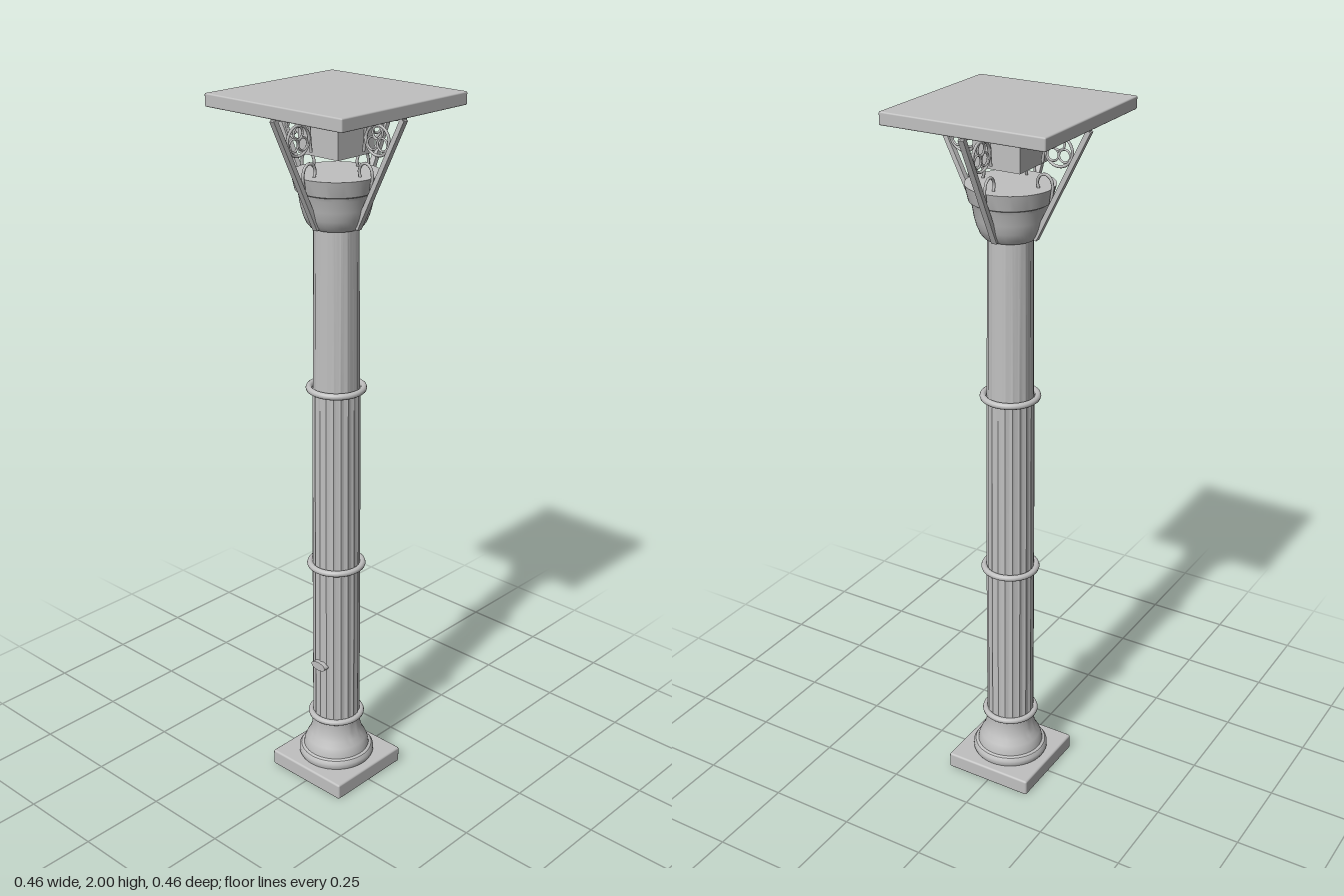
import * as THREE from 'three';
import { toCreasedNormals } from 'three/addons/utils/BufferGeometryUtils.js';
import { RoundedBoxGeometry } from 'three/addons/geometries/RoundedBoxGeometry.js';

export function createModel() {
  const model = new THREE.Group();
  model.name = 'column';
  const iron = new THREE.MeshStandardMaterial({ color: 0xc0c0c0 });
  iron.name = 'grey iron';

  const add = (name, geometry, x = 0, y = 0, z = 0, parent = model) => {
    const mesh = new THREE.Mesh(geometry, iron);
    mesh.name = name;
    mesh.position.set(x, y, z);
    parent.add(mesh);
    return mesh;
  };
  const turned = (points) => toCreasedNormals(
    new THREE.LatheGeometry(points.map(([r, y]) => new THREE.Vector2(r, y)), 48), 0.6);

  // Square plinth and moulded base
  add('plinth', new RoundedBoxGeometry(0.268, 0.048, 0.268, 2, 0.006), 0, 0.024, 0);
  add('base', turned([
    [0, 0.045], [0.106, 0.045], [0.11, 0.053], [0.11, 0.065], [0.104, 0.074],
    [0.096, 0.077], [0.094, 0.09], [0.088, 0.105], [0.078, 0.122],
    [0.072, 0.142], [0.069, 0.165], [0.07, 0.185], [0, 0.185],
  ]));

  // Fluted shaft sections, with the radius pulled in along each groove
  const flutedShaft = (name, y0, y1, r0, r1, depth) => {
    const flutes = 20;
    const geo = new THREE.CylinderGeometry(r1, r0, y1 - y0, flutes * 6, 1, true);
    const p = geo.attributes.position;
    for (let i = 0; i < p.count; i++) {
      const a = Math.atan2(p.getZ(i), p.getX(i));
      const k = 1 - depth * Math.abs(Math.sin(a * flutes / 2));
      p.setX(i, p.getX(i) * k);
      p.setZ(i, p.getZ(i) * k);
    }
    geo.computeVertexNormals();
    add(name, toCreasedNormals(geo, 0.6), 0, (y0 + y1) / 2, 0);
  };
  flutedShaft('lowerShaft', 0.18, 0.68, 0.069, 0.068, 0.05);
  flutedShaft('middleShaft', 0.68, 1.215, 0.068, 0.065, 0.05);
  flutedShaft('upperShaft', 1.215, 1.67, 0.064, 0.06, 0.03);

  // Rounded collars between the sections
  for (const [y, r] of [[0.188, 0.073], [0.682, 0.074], [1.214, 0.074]]) {
    const collar = new THREE.TorusGeometry(r, 0.009, 10, 48);
    collar.rotateX(Math.PI / 2);
    add('collar', collar, 0, y, 0);
  }

  // Small oval badge on the front
  const badge = new THREE.CylinderGeometry(1, 1, 0.016, 32);
  badge.rotateX(Math.PI / 2);
  badge.scale(0.026, 0.013, 1);
  add('ovalBadge', badge, 0, 0.371, 0.07);

  // Flared capital
  add('capital', turned([
    [0, 1.66], [0.068, 1.66], [0.078, 1.672], [0.086, 1.69], [0.093, 1.715],
    [0.098, 1.745], [0.102, 1.755], [0.107, 1.758], [0.117, 1.8], [0, 1.8],
  ]));

  // Block and slab on top
  add('topBlock', new THREE.BoxGeometry(0.136, 0.118, 0.136), 0, 1.908, 0);
  add('topSlab', new RoundedBoxGeometry(0.464, 0.034, 0.464, 2, 0.004), 0, 1.983, 0);

  // Openwork bracket, drawn in the xy plane and repeated on four sides
  const bar = (name, parent, from, to, width, depth) => {
    const dx = to[0] - from[0], dy = to[1] - from[1];
    const mesh = add(name, new THREE.BoxGeometry(Math.hypot(dx, dy), width, depth),
      (from[0] + to[0]) / 2, (from[1] + to[1]) / 2, 0, parent);
    mesh.rotation.z = Math.atan2(dy, dx);
  };
  const rod = (name, parent, points) => {
    const curve = new THREE.CatmullRomCurve3(points.map(([x, y]) => new THREE.Vector3(x, y, 0)));
    add(name, new THREE.TubeGeometry(curve, 24, 0.004, 6), 0, 0, 0, parent);
  };
  for (let i = 0; i < 4; i++) {
    const bracket = new THREE.Group();
    bracket.name = 'bracket';
    bracket.rotation.y = i * Math.PI / 2;
    model.add(bracket);
    bar('bracketStrut', bracket, [0.074, 1.665], [0.222, 1.962], 0.013, 0.016);
    bar('bracketTopRail', bracket, [0.066, 1.962], [0.224, 1.962], 0.008, 0.016);
    // Ring with three smaller rings inside
    add('bracketRing', new THREE.TorusGeometry(0.038, 0.004, 6, 32), 0.138, 1.9, 0, bracket);
    for (let k = 0; k < 3; k++) {
      const a = Math.PI / 2 + k * Math.PI * 2 / 3;
      add('trefoilRing', new THREE.TorusGeometry(0.016, 0.003, 6, 20),
        0.138 + 0.019 * Math.cos(a), 1.9 + 0.019 * Math.sin(a), 0, bracket);
    }
    // Curved bar beside the ring and hooked scroll over the capital rim
    rod('bracketCurve', bracket, [[0.101, 1.962], [0.098, 1.93], [0.096, 1.895], [0.092, 1.865]]);
    rod('bracketScroll', bracket, [
      [0.082, 1.798], [0.078, 1.815], [0.086, 1.832], [0.101, 1.837],
      [0.116, 1.828], [0.122, 1.808], [0.119, 1.78], [0.116, 1.755],
    ]);
  }
  return model;
}
